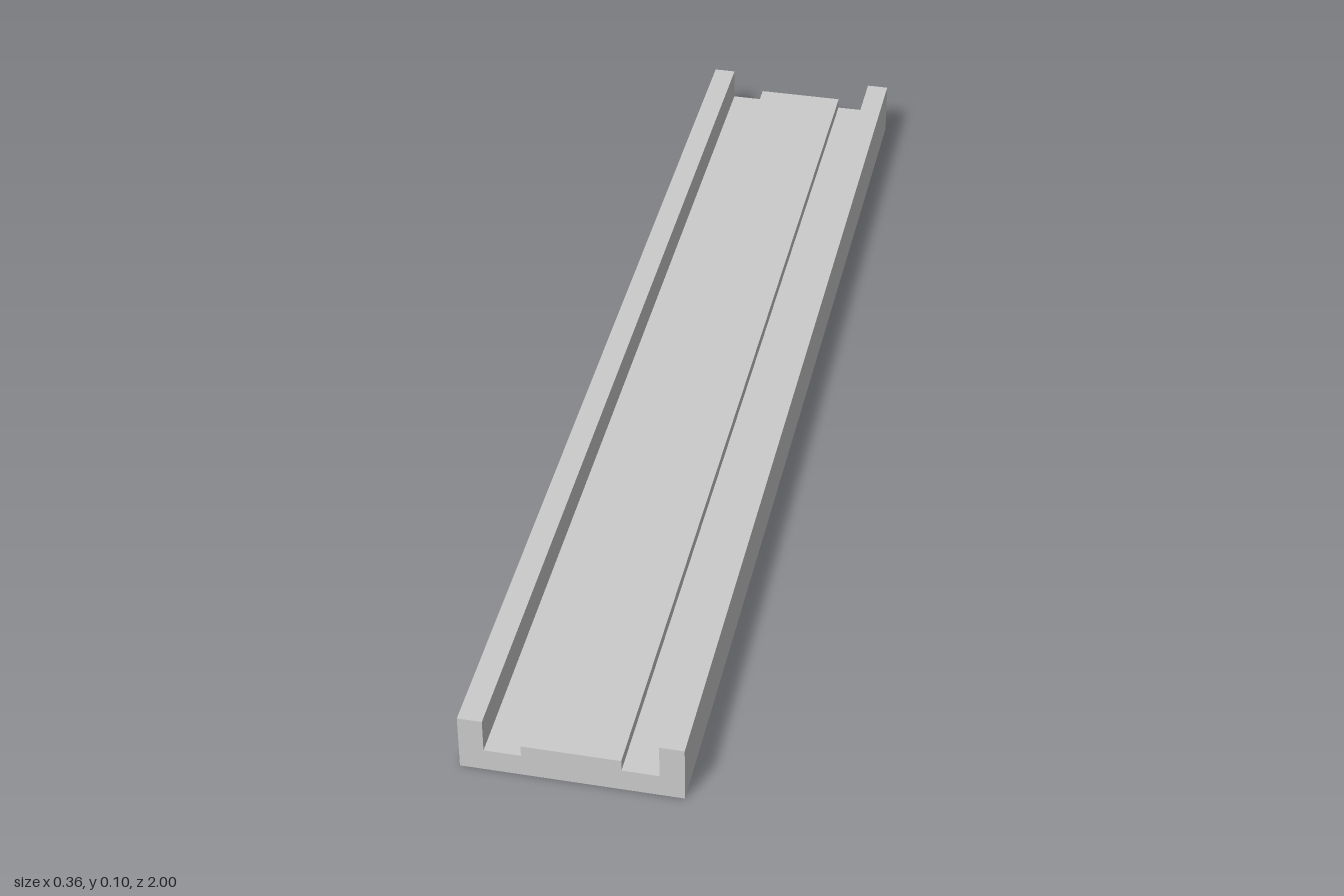
import * as THREE from 'three';

const LENGTH = 2;

export function createModel() {
  const group = new THREE.Group();
  group.name = 'channelTrack';

  // Right half of the cross-section, from the base corner up to the raised centre
  const half = [
    [0.18, 0], [0.18, 0.1], [0.14, 0.1], // outer wall
    [0.14, 0.04], [0.08, 0.04],          // groove
    [0.08, 0.06],                        // raised bed
  ];
  const mirrored = half.map(([x, y]) => [-x, y]).reverse();
  const profile = new THREE.Shape([...half, ...mirrored].map(([x, y]) => new THREE.Vector2(x, y)));

  // Constant section swept along the full length
  const geometry = new THREE.ExtrudeGeometry(profile, { depth: LENGTH, bevelEnabled: false });
  geometry.translate(0, 0, -LENGTH / 2);

  const track = new THREE.Mesh(
    geometry,
    new THREE.MeshStandardMaterial({ color: 0xcccccc, flatShading: true })
  );
  track.name = 'track';
  group.add(track);
  return group;
}
